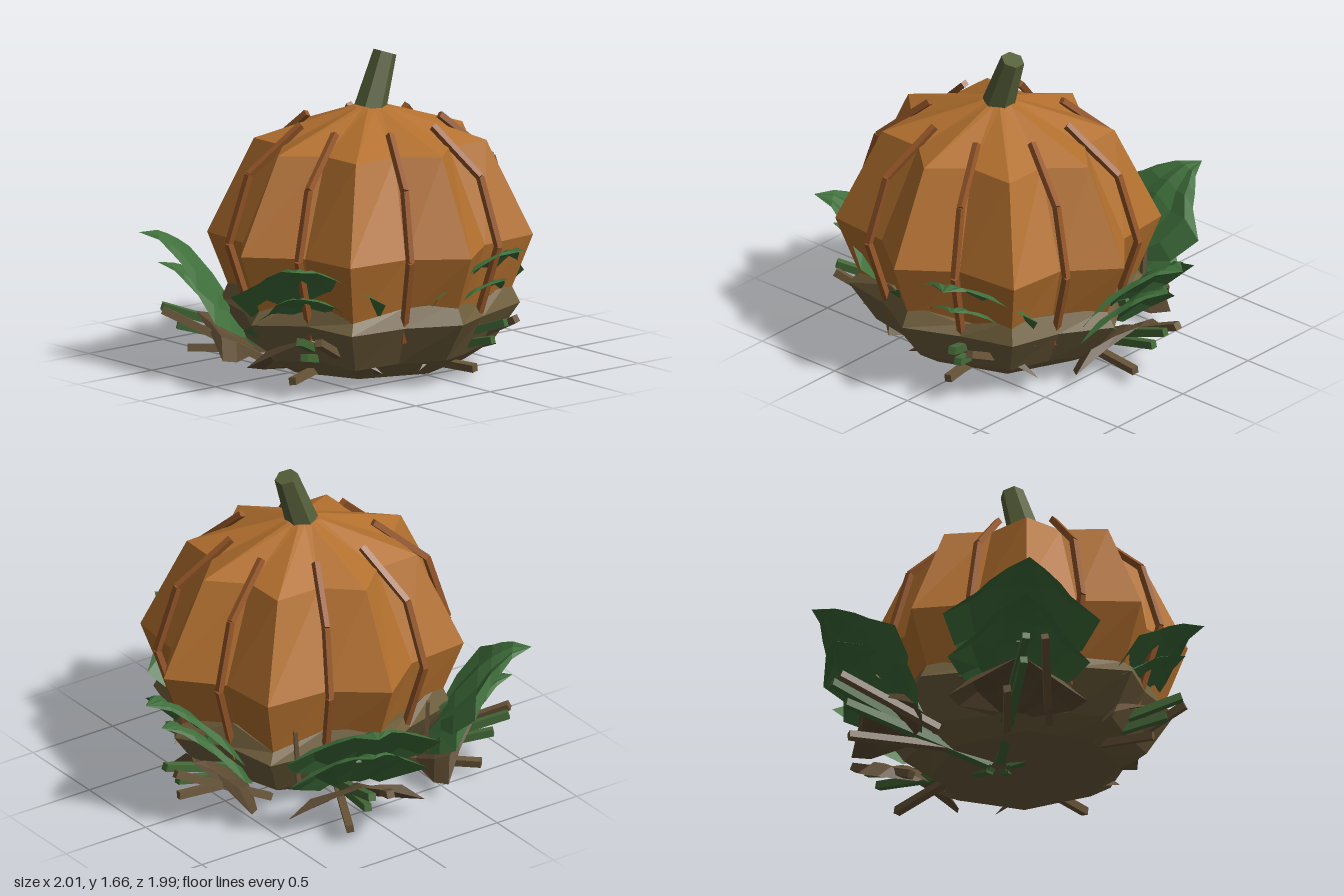
import * as THREE from 'three';

const mat = (color, side = THREE.FrontSide) => new THREE.MeshStandardMaterial({ color, flatShading: true, side });
const MAT = {
  pumpkin: mat(0xb3702e), rib: mat(0x935527), stem: mat(0x56603a), nest: mat(0x705f3d, THREE.DoubleSide),
  twig: mat(0x6b573a), stalk: mat(0x456b38), leaf: mat(0x3f6f3b, THREE.DoubleSide), dryLeaf: mat(0x5c4a32, THREE.DoubleSide),
};
const V = (x, y, z) => new THREE.Vector3(x, y, z);

// Skin a grid of points (rows of equal length) with flat triangles
function skin(rows) {
  const pos = [];
  for (let i = 0; i < rows.length - 1; i++) {
    for (let j = 0; j < rows[i].length - 1; j++) {
      const a = rows[i][j], b = rows[i][j + 1], c = rows[i + 1][j + 1], d = rows[i + 1][j];
      for (const p of [a, b, c, a, c, d]) pos.push(p.x, p.y, p.z);
    }
  }
  const g = new THREE.BufferGeometry();
  g.setAttribute('position', new THREE.Float32BufferAttribute(pos, 3));
  g.computeVertexNormals();
  return g;
}

// Eight-ridged body from a bottom-to-top profile of [y, ridge radius, valley radius, wobble]
function ridged(profile) {
  return skin(profile.map(([y, ridge, valley, wobble = 0]) =>
    Array.from({ length: 17 }, (_, j) => {
      const a = (j % 16) * Math.PI / 8, r = j % 2 ? valley : ridge;
      return V(r * Math.cos(a), y + wobble * Math.sin((j % 16) * 2.3), -r * Math.sin(a) * 0.92);
    })));
}

// Square bar between two points, tapered toward the far end
function bar(a, b, size, taper = 1) {
  const dir = b.clone().sub(a);
  const g = new THREE.CylinderGeometry(size * taper * 0.7, size * 0.7, dir.length(), 4);
  g.rotateY(Math.PI / 4);
  g.applyQuaternion(new THREE.Quaternion().setFromUnitVectors(V(0, 1, 0), dir.normalize()));
  g.translate((a.x + b.x) / 2, (a.y + b.y) / 2, (a.z + b.z) / 2);
  return g;
}

// Pleated three-pointed leaf; each row is [x, y of midrib, half width, edge droop]
function leaf(rows) {
  const cols = [-1, -0.67, -0.33, 0, 0.33, 0.67, 1];
  return skin(rows.map(([x, y, w, droop]) => cols.map((c, j) =>
    V(x, y - droop * c * c - (j % 2 ? 0 : 0.1 * w), c * w))));
}

function add(parent, name, geometry, material) {
  const m = new THREE.Mesh(geometry, material);
  m.name = name;
  parent.add(m);
  return m;
}

export function createModel() {
  const model = new THREE.Group();
  model.name = 'pumpkinInNest';

  // Pumpkin, its ribs, stem and nest share one off-centre axis
  const body = new THREE.Group();
  body.name = 'pumpkinAndNest';
  body.position.set(-0.11, 0, 0.18);
  model.add(body);

  add(body, 'pumpkin', ridged([
    [0.02, 0, 0], [0.1, 0.4, 0.34], [0.36, 0.73, 0.6], [0.705, 0.87, 0.7],
    [1.2, 0.62, 0.48], [1.375, 0.09, 0.08], [1.38, 0, 0],
  ]), MAT.pumpkin);

  add(body, 'nest', ridged([
    [0, 0, 0], [0.045, 0.5, 0.46], [0.13, 0.65, 0.57, 0.012], [0.34, 0.8, 0.69, 0.01],
    [0.43, 0.74, 0.65, 0.05], [0.38, 0.6, 0.5],
  ]), MAT.nest);

  // Ribs lying in the valleys
  const ribPath = [[0.63, 0.26], [0.775, 0.705], [0.665, 1.06], [0.38, 1.3]];
  for (let k = 0; k < 8; k++) {
    const a = (k + 0.5) * Math.PI / 4;
    const pts = ribPath.map(([r, y]) => V(r * Math.cos(a), y, r * Math.sin(a) * 0.93));
    const rib = new THREE.Group();
    rib.name = 'rib';
    for (let i = 0; i < 3; i++) add(rib, 'ribSegment', bar(pts[i], pts[i + 1], 0.032), MAT.rib);
    body.add(rib);
  }

  // Leaning stem with a cap square to its lean
  const stem = new THREE.CylinderGeometry(0.062, 0.085, 0.3, 6);
  stem.translate(0, 0.15, 0);
  const stemMesh = add(body, 'stem', stem, MAT.stem);
  stemMesh.position.set(0, 1.36, 0);
  stemMesh.rotation.z = -0.34;

  // Five sprays of leaves, stalks and twigs, set on a slight ellipse around the base
  const sprays = new THREE.Group();
  sprays.name = 'leafSprays';
  sprays.position.x = -0.1;
  sprays.scale.z = 0.95;
  model.add(sprays);

  const leafGeo = leaf([
    [0.63, 0.34, 0.16, 0.02], [0.7, 0.44, 0.34, 0.04], [0.82, 0.58, 0.42, 0.05], [0.89, 0.64, 0.25, 0.03],
    [0.94, 0.67, 0.19, 0.02], [1.0, 0.7, 0.1, 0.01], [1.1, 0.7, 0, 0],
  ]);
  const lowerLeafGeo = leaf([
    [0.55, 0.2, 0.16, 0.02], [0.63, 0.3, 0.3, 0.04], [0.72, 0.4, 0.38, 0.07], [0.8, 0.47, 0.22, 0.04],
    [0.87, 0.51, 0.16, 0.02], [0.92, 0.53, 0.08, 0.01], [1.0, 0.54, 0, 0],
  ]);
  const dryGeo = leaf([
    [0.5, 0.1, 0.1, 0.02], [0.6, 0.2, 0.3, 0.1], [0.68, 0.25, 0.37, 0.12],
    [0.73, 0.27, 0.18, 0.06], [0.8, 0.28, 0, 0],
  ]);
  for (let k = 0; k < 5; k++) {
    const spray = new THREE.Group();
    spray.name = 'leafSpray';
    spray.rotation.y = k * Math.PI * 2 / 5;
    sprays.add(spray);
    add(spray, 'leaf', leafGeo, MAT.leaf);
    add(spray, 'lowerLeaf', lowerLeafGeo, MAT.leaf);
    add(spray, 'dryLeaf', dryGeo, MAT.dryLeaf);
    add(spray, 'leafStalk', bar(V(0.04, 0.02, 0), V(0.72, 0.4, 0), 0.04, 0.7), MAT.stalk);
    add(spray, 'lowerStalk', bar(V(0.06, 0.02, 0), V(0.9, 0.21, 0), 0.05, 0.8), MAT.stalk);
    add(spray, 'upperStalk', bar(V(0.3, 0.09, 0.03), V(0.98, 0.31, 0), 0.045, 0.9), MAT.stalk);
    add(spray, 'flatTwig', bar(V(0.3, 0.07, 0), V(0.84, 0.07, 0.08), 0.04), MAT.twig);
    add(spray, 'slantedTwig', bar(V(0.45, 0.06, -0.2), V(0.98, 0.31, -0.1), 0.04), MAT.twig);
    add(spray, 'uprightTwig', bar(V(0.56, 0.25, 0.28), V(0.57, 0.54, 0.3), 0.025, 0.8), MAT.twig);
  }
  return model;
}
